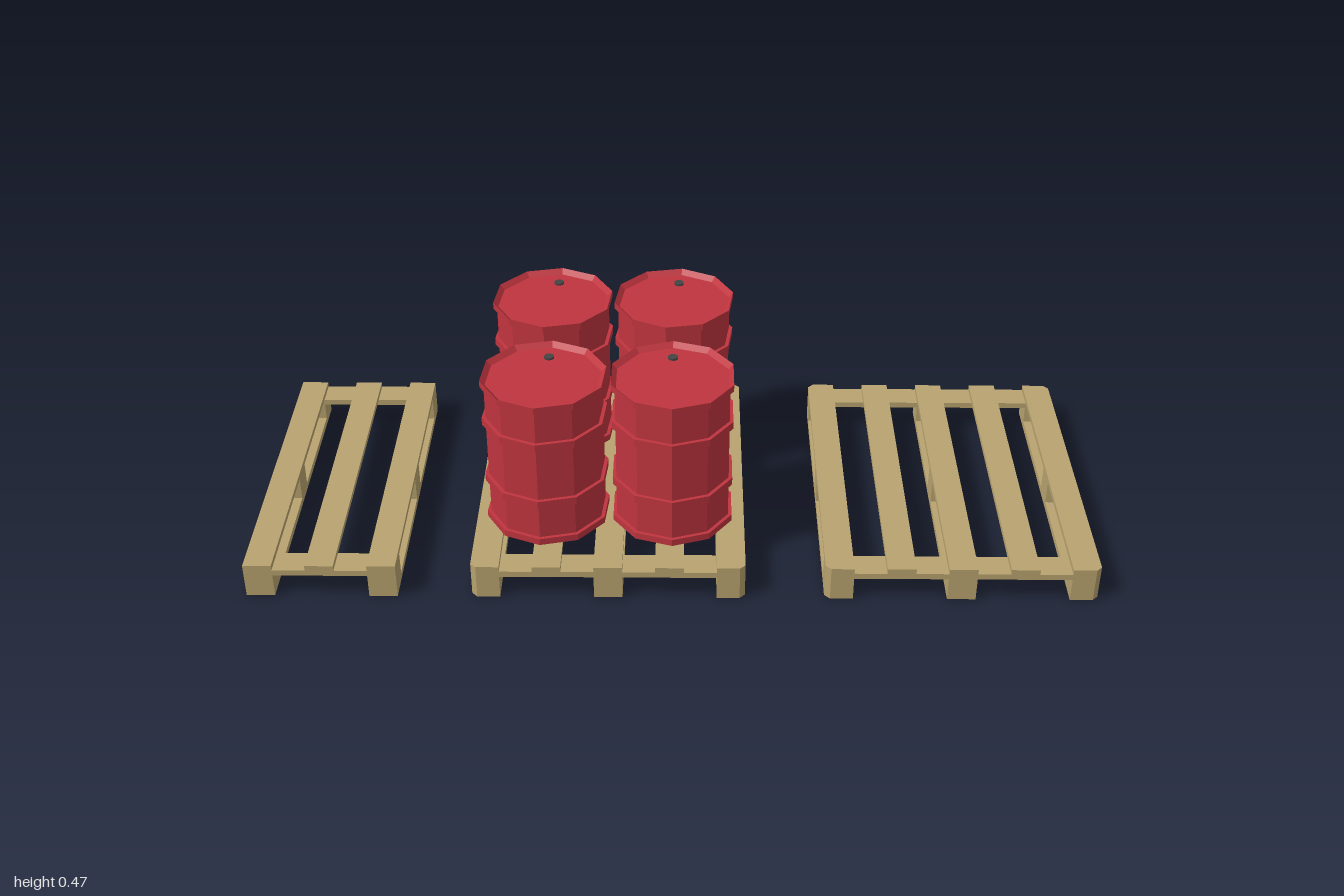
import * as THREE from 'three';

const wood = new THREE.MeshStandardMaterial({ color: 0xb8a36f, flatShading: true });
const red = new THREE.MeshStandardMaterial({ color: 0xbf343e, flatShading: true });
const dark = new THREE.MeshStandardMaterial({ color: 0x444444, flatShading: true });

const DEPTH = 0.8, BOARD = 0.067, CUT = 0.013;
const TOP = 0.087, DECK = 0.074, CROSS = 0.059, BASE = 0.016;

function mesh(name, geometry, material) {
  const m = new THREE.Mesh(geometry, material);
  m.name = name;
  return m;
}

// Upright timber block; corners lying on the pallet's own corners are cut off
function timber(name, cx, cz, w, d, y0, y1, halfW, cut) {
  const pts = [];
  for (const [sx, sz] of [[1, 1], [1, -1], [-1, -1], [-1, 1]]) {
    const x = cx + sx * w / 2, z = cz + sz * d / 2;
    const atCorner = Math.abs(sx * halfW - x) < 1e-4 && Math.abs(sz * DEPTH / 2 - z) < 1e-4;
    if (cut && atCorner) {
      const a = [x - sx * CUT, z], b = [x, z - sz * CUT];
      pts.push(...(sx * sz > 0 ? [a, b] : [b, a]));
    } else pts.push([x, z]);
  }
  const shape = new THREE.Shape(pts.map(([x, z]) => new THREE.Vector2(x, -z)));
  const geo = new THREE.ExtrudeGeometry(shape, { depth: y1 - y0, bevelEnabled: false });
  geo.rotateX(-Math.PI / 2).translate(0, y0, 0);
  return mesh(name, geo, wood);
}

// Pallet with evenly spaced deck boards; every second one stands on blocks
function pallet(name, cx, width, boards, cut) {
  const g = new THREE.Group();
  g.name = name;
  const half = width / 2, endZ = (DEPTH - BOARD) / 2;
  const add = (part, x, z, w, d, y0, y1) => g.add(timber(part, x, z, w, d, y0, y1, half, cut));
  for (let i = 0; i < boards; i++) {
    const x = -half + BOARD / 2 + i * (width - BOARD) / (boards - 1);
    add('deckBoard', x, 0, BOARD, DEPTH, DECK, TOP);
    if (i % 2) continue;
    add('baseBoard', x, 0, BOARD, DEPTH, 0, BASE);
    for (const z of [-endZ, 0, endZ]) add('block', x, z, BOARD, BOARD, BASE, z ? CROSS : DECK);
  }
  for (const s of [-1, 1]) add('crossBoard', 0, s * endZ, width, BOARD, CROSS, DECK);
  g.position.x = cx;
  return g;
}

// Ten-sided drum with two hoops, raised rims and a recessed lid
function drum(x, z, degrees) {
  const R = 0.149, r = 0.14, H = 0.385, rim = 0.017;
  const profile = [
    [0, 0.012], [0.136, 0.012], [R, 0], [R, rim], [r, rim],
    [r, 0.106], [R, 0.106], [R, 0.125], [r, 0.125],
    [r, 0.265], [R, 0.265], [R, 0.284], [r, 0.284],
    [r, H - rim], [R, H - rim], [R, H], [0.137, H - 0.012], [0, H - 0.012],
  ].map(([a, b]) => new THREE.Vector2(a, b));
  const g = new THREE.Group();
  g.name = 'drum';
  g.add(mesh('drumBody', new THREE.LatheGeometry(profile, 10), red));
  const bung = mesh('bung', new THREE.CylinderGeometry(0.012, 0.012, 0.006, 10), dark);
  bung.position.set(0, H - 0.01, -0.09);
  g.add(bung);
  g.position.set(x, TOP, z);
  g.rotation.y = THREE.MathUtils.degToRad(degrees);
  return g;
}

export function createModel() {
  const model = new THREE.Group();
  model.name = 'palletsWithDrums';
  model.add(
    pallet('halfPallet', -0.822, 0.356, 3, false),
    pallet('loadedPallet', -0.149, 0.642, 5, true),
    pallet('emptyPallet', 0.679, 0.642, 5, true),
    drum(-0.3, 0.166, -5),
    drum(0, 0.166, 0),
    drum(-0.3, -0.193, -6),
    drum(0, -0.193, -7.5),
  );
  return model;
}
